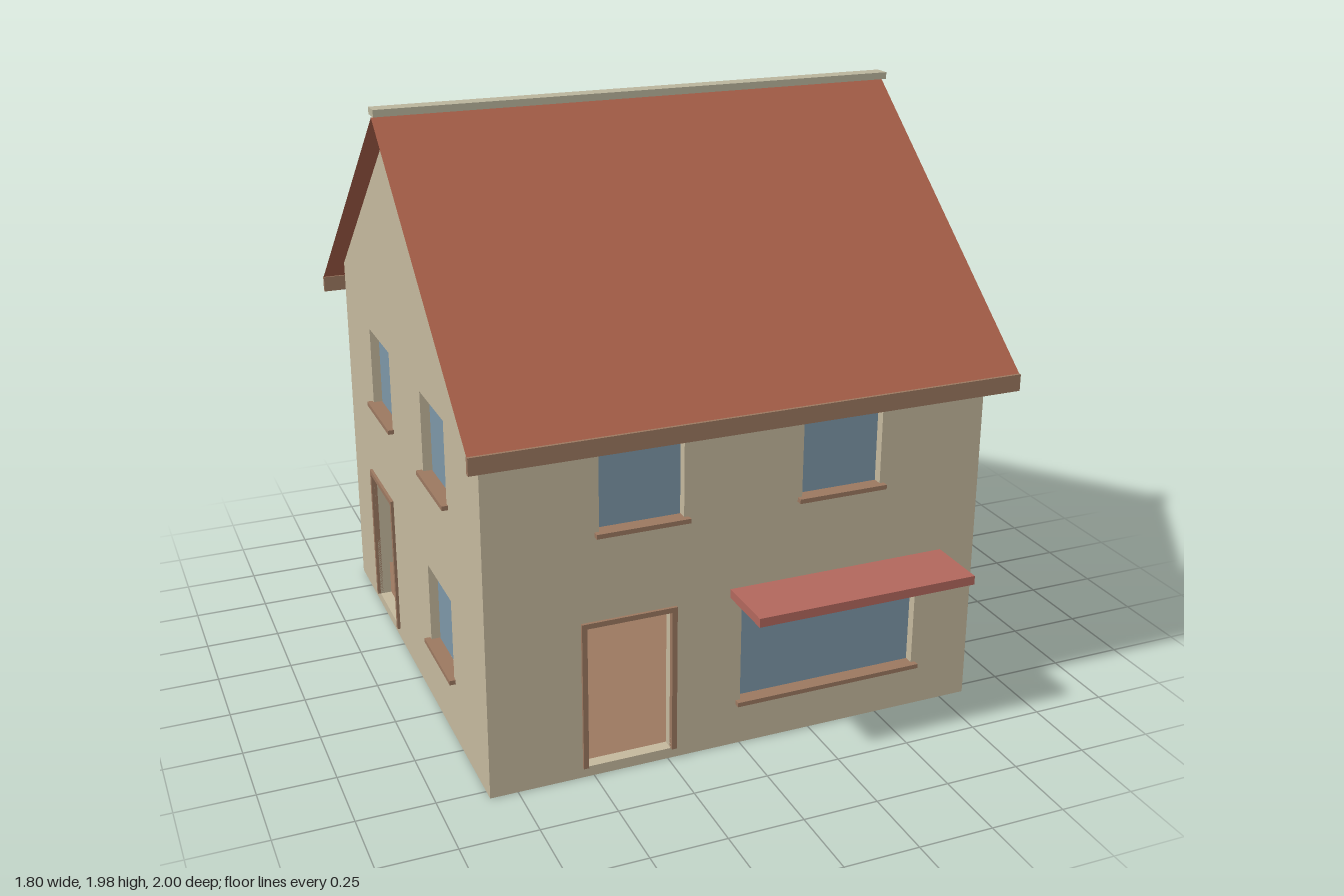
import * as THREE from 'three';

const mat = (name, color, extra = {}) => Object.assign(new THREE.MeshStandardMaterial({ color, ...extra }), { name });

export function createModel() {
  const house = new THREE.Group();
  house.name = 'house';
  const wallMat = mat('plaster', 0xc4b89d);
  const roofMat = mat('roofTile', 0xa65e48, { side: THREE.DoubleSide });
  const glassMat = mat('glass', 0x7c96a7);
  const trimMat = mat('brownTrim', 0x9b7860);
  const canopyMat = mat('canopyRed', 0xb2675d);
  const ridgeMat = mat('ridgeStone', 0xbab59c);

  const HALF = 0.84, MID = -0.05, EAVE = 1.255, PEAK = 1.945, T = 0.04;

  // Box given by its limits on each axis
  function box(parent, name, material, x0, x1, y0, y1, z0, z1) {
    const m = new THREE.Mesh(new THREE.BoxGeometry(x1 - x0, y1 - y0, z1 - z0), material);
    m.position.set((x0 + x1) / 2, (y0 + y1) / 2, (z0 + z1) / 2);
    m.name = name;
    parent.add(m);
    return m;
  }

  // One wall with its openings; the outer face is local z = 0, facing +z
  function wall(name, position, turn, gable, windows, door) {
    const g = new THREE.Group();
    g.name = name;
    g.position.set(...position);
    g.rotation.y = turn;
    const outline = [[-HALF, 0], [HALF, 0], [HALF, EAVE]];
    if (gable) outline.push([0, PEAK]);
    outline.push([-HALF, EAVE]);
    const shape = new THREE.Shape(outline.map(([x, y]) => new THREE.Vector2(x, y)));
    const openings = door ? [...windows, door] : windows;
    for (const [x0, x1, y0, y1] of openings) {
      shape.holes.push(new THREE.Path([[x0, y0], [x0, y1], [x1, y1], [x1, y0]]
        .map(([x, y]) => new THREE.Vector2(x, y))));
    }
    const slab = new THREE.Mesh(new THREE.ExtrudeGeometry(shape, { depth: T, bevelEnabled: false }), wallMat);
    slab.position.z = -T;
    slab.name = name + 'Slab';
    g.add(slab);

    // Recessed glass and projecting sill
    for (const [x0, x1, y0, y1] of windows) {
      box(g, 'windowGlass', glassMat, x0, x1, y0, y1, -T + 0.001, -T + 0.009);
      box(g, 'windowSill', trimMat, x0 - 0.015, x1 + 0.015, y0 - 0.013, y0 + 0.002, -T + 0.01, 0.02);
    }
    // Frame around the open doorway
    if (door) {
      const [x0, x1, y0, y1] = door, w = 0.017;
      box(g, 'doorJamb', trimMat, x0 - w, x0, y0, y1, -0.01, 0.01);
      box(g, 'doorJamb', trimMat, x1, x1 + w, y0, y1, -0.01, 0.01);
      box(g, 'doorHead', trimMat, x0 - w, x1 + w, y1, y1 + w, -0.01, 0.01);
    }
    house.add(g);
  }

  // Two windows mirrored about the wall's middle
  const pair = (y0, y1) => [[-0.475, -0.2, y0, y1], [0.2, 0.475, y0, y1]];
  const upper = pair(0.833, 1.11), lower = pair(0.222, 0.5);
  wall('frontWall', [0, 0, MID + HALF], 0, false, [...upper, [0, 0.63, 0.156, 0.52]], [-0.52, -0.24, 0.035, 0.522]);
  wall('backWall', [0, 0, MID - HALF], Math.PI, false, [...upper, ...lower]);
  wall('leftGable', [HALF, 0, MID], Math.PI / 2, true, [...upper, ...lower]);
  wall('rightGable', [-HALF, 0, MID], -Math.PI / 2, true, [...upper, lower[1]], [-0.55, -0.27, 0.035, 0.522]);

  // Ground slab, inner floor and glazed inner screen
  box(house, 'groundSlab', wallMat, -HALF, HALF, 0, 0.025, MID - HALF, MID + HALF);
  box(house, 'innerFloor', trimMat, -HALF + T, HALF - T, 0.025, 0.033, MID - HALF + T, MID + HALF - T);
  box(house, 'innerScreen', glassMat, -HALF + T, -0.32, 0.033, 0.56, -0.315, -0.307);

  // Thin roof slopes with fascia boards along the eaves
  const slope = (PEAK - EAVE) / HALF, reach = 0.94, top = PEAK + 0.006;
  for (const s of [1, -1]) {
    const geo = new THREE.PlaneGeometry(1.8, Math.hypot(reach, reach * slope));
    geo.rotateX(s * (Math.atan(slope) - Math.PI / 2));
    if (s < 0) geo.rotateZ(0);
    const roof = new THREE.Mesh(geo, roofMat);
    roof.position.set(0, top - reach * slope / 2, MID + s * reach / 2);
    roof.name = s > 0 ? 'frontRoof' : 'backRoof';
    house.add(roof);
    const z = MID + s * reach;
    box(house, 'fasciaBoard', trimMat, -0.9, 0.9, 1.125, 1.18, z - 0.008, z + 0.008);
  }

  // Ridge cap and small roof vent
  box(house, 'ridgeCap', ridgeMat, -0.9, 0.9, 1.957, 1.98, MID - 0.03, MID + 0.03);
  box(house, 'roofVent', ridgeMat, -0.63, -0.43, 1.638, 1.66, -0.457, -0.415);
  box(house, 'ventNeck', ridgeMat, -0.62, -0.44, 1.615, 1.638, -0.44, -0.42);

  // Canopy over the large front window
  box(house, 'canopy', canopyMat, -0.04, 0.715, 0.53, 0.56, MID + HALF, 1);

  return house;
}
